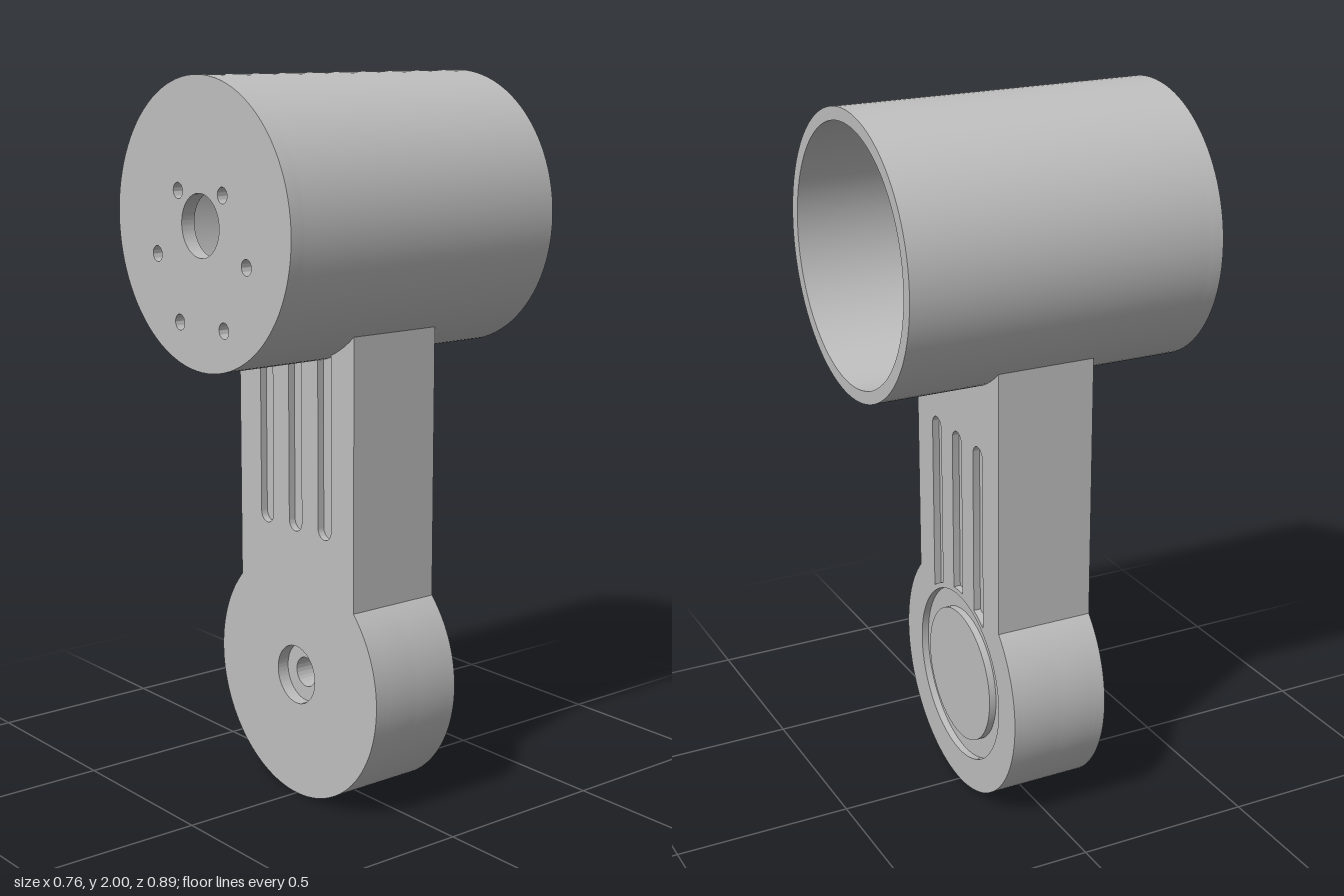
import * as THREE from 'three';
import { toCreasedNormals } from 'three/addons/utils/BufferGeometryUtils.js';

const TUBE_Y = 1.62, TUBE_R = 0.38, TUBE_IN = 0.345, HALF_LEN = 0.443, CAP = 0.04;
const DISC_Y = 0.347, DISC_R = 0.347, ARM_W = 0.25, HALF_T = 0.14;
const GROOVE = 0.02, SLOT_W = 0.028, SLOT_X = [-0.127, 0, 0.127];

export function createModel() {
  const group = new THREE.Group();
  const grey = new THREE.MeshStandardMaterial({ color: 0xbfbfbf });
  grey.name = 'grey';

  const circle = (x, y, r, Type = THREE.Path) => {
    const p = new Type();
    p.absarc(x, y, r, 0, Math.PI * 2, false);
    return p;
  };

  // Extrude a shape with holes between two z planes
  const slab = (name, shape, holes, z0, z1) => {
    shape.holes.push(...holes);
    const geo = new THREE.ExtrudeGeometry(shape, { depth: z1 - z0, bevelEnabled: false, curveSegments: 48 });
    geo.translate(0, 0, z0);
    const mesh = new THREE.Mesh(toCreasedNormals(geo, 0.5), grey);
    mesh.name = name;
    group.add(mesh);
  };

  // Arm outline: round foot, straight sides, top cut to sit in the tube wall
  const armShape = () => {
    const s = new THREE.Shape();
    const a = Math.acos(ARM_W / DISC_R);
    s.absarc(0, DISC_Y, DISC_R, Math.PI - a, Math.PI * 2 + a, false);
    const b = Math.acos(ARM_W / 0.36);
    s.absarc(0, TUBE_Y, 0.36, -b, -Math.PI + b, true);
    s.closePath();
    return s;
  };

  // Slot with one round end and one end following a circle
  const slot = (cx, roundY, dir, endY) => {
    const pts = [];
    for (let i = 0; i <= 16; i++) {
      const t = Math.PI * i / 16;
      pts.push(new THREE.Vector2(cx - SLOT_W * Math.cos(t), roundY + dir * SLOT_W * Math.sin(t)));
    }
    for (let i = 0; i <= 6; i++) {
      const x = cx + SLOT_W - 2 * SLOT_W * i / 6;
      pts.push(new THREE.Vector2(x, endY(x)));
    }
    return new THREE.Path(pts);
  };
  const underTube = x => TUBE_Y - Math.sqrt(0.37 ** 2 - x * x);
  const aroundRing = x => DISC_Y + Math.sqrt(0.265 ** 2 - x * x);
  const frontSlots = SLOT_X.map(x => slot(x, 0.765 + SLOT_W, -1, underTube));
  const backSlots = SLOT_X.map(x => slot(x, 1.062, 1, aroundRing));

  // Arm in layers, so grooves and the stepped bore have real depth
  const bore = r => circle(0, DISC_Y + 0.004, r);
  slab('armFrontFace', armShape(), [...frontSlots, bore(0.083)], HALF_T - GROOVE, HALF_T);
  slab('armCounterbore', armShape(), [bore(0.083)], 0.105, HALF_T - GROOVE);
  slab('armBore', armShape(), [bore(0.042)], 0, 0.105);
  slab('armCore', armShape(), [], -HALF_T + GROOVE, 0);
  slab('armBackFace', armShape(), [...backSlots, circle(0, DISC_Y, 0.25)], -HALF_T, -HALF_T + GROOVE);
  slab('backDisc', circle(0, DISC_Y, 0.194, THREE.Shape), [], -HALF_T, -HALF_T + GROOVE);

  // Tube, open at the back
  slab('tubeWall', circle(0, TUBE_Y, TUBE_R, THREE.Shape),
    [circle(0, TUBE_Y, TUBE_IN)], -HALF_LEN, HALF_LEN - CAP);

  // Front cap with shaft hole and six screw holes
  const holes = [circle(0, TUBE_Y, 0.083)];
  for (const [x, y] of [[0.098, 1.704], [0.197, 1.532], [0.098, 1.361]]) {
    holes.push(circle(x, y, 0.021), circle(-x, y, 0.021));
  }
  slab('tubeCap', circle(0, TUBE_Y, TUBE_R, THREE.Shape), holes, HALF_LEN - CAP, HALF_LEN);

  return group;
}
